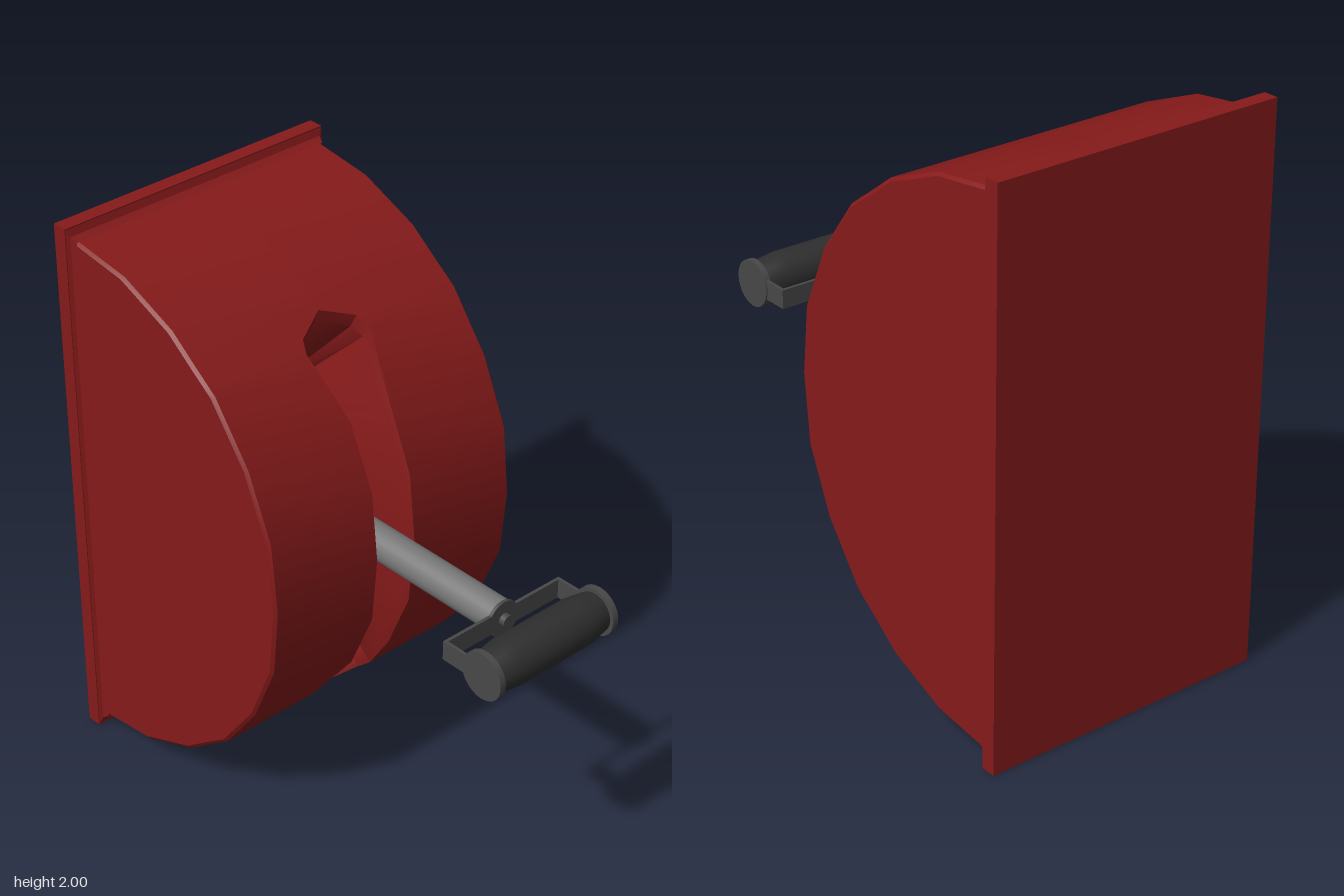
import * as THREE from 'three';
import { toCreasedNormals } from 'three/addons/utils/BufferGeometryUtils.js';

const red = new THREE.MeshStandardMaterial({ color: 0x861a1a });
const steel = new THREE.MeshStandardMaterial({ color: 0x777777 });
const dark = new THREE.MeshStandardMaterial({ color: 0x484848 });
const rubber = new THREE.MeshStandardMaterial({ color: 0x2e2e2e });

// Skin consecutive lists of points with triangles
function loft(lists) {
  const pos = [];
  const tri = (a, b, c) => {
    if (a.distanceTo(b) > 1e-6 && b.distanceTo(c) > 1e-6 && c.distanceTo(a) > 1e-6)
      for (const p of [a, b, c]) pos.push(p.x, p.y, p.z);
  };
  for (let k = 0; k + 1 < lists.length; k++) {
    const A = lists[k], B = lists[k + 1];
    for (let i = 0; i + 1 < A.length; i++) {
      tri(A[i], A[i + 1], B[i + 1]);
      tri(A[i], B[i + 1], B[i]);
    }
  }
  const g = new THREE.BufferGeometry();
  g.setAttribute('position', new THREE.Float32BufferAttribute(pos, 3));
  return toCreasedNormals(g, Math.PI / 6);
}

export function createModel() {
  const model = new THREE.Group();
  const add = (name, geo, mat, x, y, z, parent = model) => {
    const m = new THREE.Mesh(geo, mat);
    m.name = name;
    m.position.set(x, y, z);
    parent.add(m);
    return m;
  };
  const V = (x, y, z) => new THREE.Vector3(x, y, z);

  // Half profile of the drum: height above the middle, z, half width of the slot
  const half = [
    [0, 0.135, 0.083], [0.25, 0.11, 0.083], [0.48, 0.01, 0.085], [0.68, -0.14, 0.135],
    [0.71, -0.18, 0.115], [0.75, -0.235, 0], [0.83, -0.34, 0], [0.925, -0.57, 0],
    [0.955, -0.8, 0], [0.955, -0.83, 0],
  ];
  const rows = [...half.slice(1).reverse().map(([h, z, w]) => [-h, z, w]), ...half];
  const slotRows = rows.filter(([h]) => Math.abs(h) < 0.76);
  const hubZ = -0.85;

  // Drum shell: side cap, small bevel, curved front up to the slot
  const centre = (s) => rows.map(() => V(s * 0.52, 1, -0.83));
  const cap = (s) => rows.map(([h, z]) => V(s * 0.52, 1 + h * 0.99, Math.max(-0.83, z - 0.01)));
  const edge = (s) => rows.map(([h, z]) => V(s * 0.51, 1 + h, z));
  const rim = (s) => rows.map(([h, z, w]) => V(s * w, 1 + h, z));
  add('drumRight', loft([centre(1), cap(1), edge(1), rim(1)]), red, 0, 0, 0);
  add('drumLeft', loft([rim(-1), edge(-1), cap(-1), centre(-1)]), red, 0, 0, 0);

  // Lever slot: bevelled rim, radial walls, rounded floor
  const mouth = (s) => slotRows.map(([h, z, w]) => V(s * w, 1 + h, z));
  const inset = (s) => slotRows.map(([h, z, w]) =>
    V(s * Math.max(0, w - 0.011), 1 + h * 0.935, z - 0.02));
  const floor = (s) => inset(s).map((p) =>
    V(p.x, 1 + (p.y - 1) * 0.41, hubZ + (p.z - hubZ) * 0.41));
  add('leverSlot', loft([mouth(1), inset(1), floor(1), floor(-1), inset(-1), mouth(-1)]), red, 0, 0, 0);

  // Back plate with a flared skirt where the drum meets it
  add('backPlate', new THREE.BoxGeometry(1.086, 2, 0.055), red, 0, 1, -0.8575);
  const ring = (x, h, z) => [[-1, -1], [1, -1], [1, 1], [-1, 1], [-1, -1]]
    .map(([a, b]) => V(a * x, 1 + b * h, z));
  add('plateSkirt', loft([ring(0.54, 0.995, -0.83), ring(0.528, 0.97, -0.822),
    ring(0.52, 0.955, -0.8)]), red, 0, 0, 0);

  // Lever shaft and end fittings
  const lever = new THREE.Group();
  lever.name = 'lever';
  model.add(lever);
  const rod = (r, len, n = 24) => new THREE.CylinderGeometry(r, r, len, n).rotateX(Math.PI / 2);
  add('shaft', rod(0.06, 1.18), steel, 0, 1, 0.04, lever);
  add('shaftCollar', rod(0.065, 0.012), dark, 0, 1, 0.63, lever);
  add('shaftNub', rod(0.022, 0.03, 16), dark, 0, 1, 0.642, lever);

  // Yoke holding the grip
  add('yokeBar', new THREE.BoxGeometry(0.51, 0.07, 0.012), dark, 0, 1, 0.63, lever);
  for (const s of [-1, 1]) {
    add('yokeArm', new THREE.BoxGeometry(0.012, 0.07, 0.12), dark, s * 0.249, 1, 0.684, lever);
    add('gripEndDisc', new THREE.CylinderGeometry(0.085, 0.085, 0.022, 28).rotateZ(Math.PI / 2),
      dark, s * 0.249, 1, 0.8, lever);
  }

  // Barrel-shaped grip
  const grip = [[0, -0.24], [0.07, -0.24], [0.079, -0.19], [0.084, -0.15],
    [0.084, 0.15], [0.079, 0.19], [0.07, 0.24], [0, 0.24]].map(([r, y]) => new THREE.Vector2(r, y));
  add('grip', toCreasedNormals(new THREE.LatheGeometry(grip, 28).rotateZ(Math.PI / 2), Math.PI / 6),
    rubber, 0, 1, 0.8, lever);

  return model;
}
